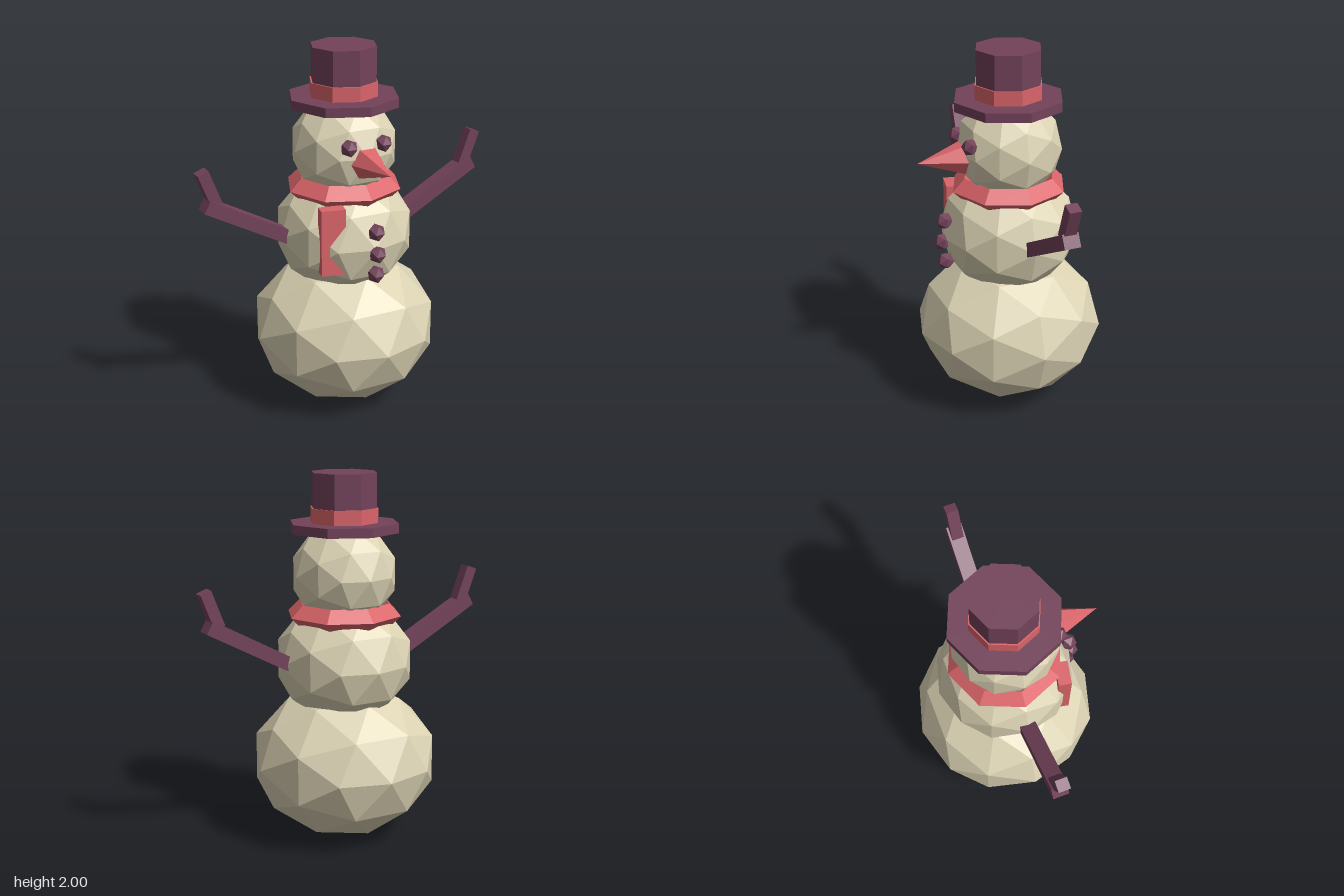
import * as THREE from 'three';

const material = (name, color) => {
  const m = new THREE.MeshStandardMaterial({ color });
  m.name = name;
  return m;
};

export function createModel() {
  const snow = material('snow', 0xdcd3b4);
  const plum = material('plum', 0x73425a);
  const red = material('red', 0xdb656a);
  const model = new THREE.Group();
  model.name = 'snowman';

  // Adds a faceted mesh: every triangle keeps its own flat normal
  function add(name, geometry, mat, x, y, z, parent = model) {
    const flat = geometry.index ? geometry.toNonIndexed() : geometry;
    flat.computeVertexNormals();
    const mesh = new THREE.Mesh(flat, mat);
    mesh.name = name;
    mesh.position.set(x, y, z);
    parent.add(mesh);
    return mesh;
  }
  const ball = (r, height, detail) =>
    new THREE.IcosahedronGeometry(1, detail).rotateY(Math.PI / 2).scale(r, height, r);
  const octagon = (r, h) => new THREE.CylinderGeometry(r, r, h, 8);

  // Snowballs
  add('base', ball(0.512, 0.423, 1), snow, 0, 0.428, 0);
  add('body', ball(0.377, 0.345, 1), snow, 0, 0.988, 0);
  add('head', ball(0.286, 0.286, 1), snow, 0, 1.458, 0);

  // Hat
  add('hatBrim', octagon(0.3, 0.05), plum, 0, 1.712, 0);
  add('hatBand', octagon(0.187, 0.08), red, 0, 1.775, 0);
  add('hatCrown', octagon(0.179, 0.27), plum, 0, 1.865, 0);

  // Face
  const nose = new THREE.ConeGeometry(0.09, 0.25, 6, 1, false, Math.PI / 2).rotateX(Math.PI / 2);
  add('nose', nose, red, 0, 1.432, 0.383);
  for (const side of [-1, 1]) add('eye', ball(0.048, 0.048, 0), plum, side * 0.1, 1.523, 0.252);

  // Buttons
  for (const [y, z] of [[1.086, 0.368], [0.968, 0.382], [0.85, 0.366]])
    add('button', ball(0.048, 0.048, 0), plum, 0, y, z);

  // Scarf ring and hanging tail
  add('scarf', new THREE.TorusGeometry(0.25, 0.066, 4, 8).rotateX(Math.PI / 2), red, 0, 1.243, 0);
  const tail = add('scarfTail', new THREE.BoxGeometry(0.13, 0.36, 0.07), red, -0.201, 1.035, 0.254);
  tail.rotation.y = -0.2;

  // Arms with raised hands, the second turned half round to mirror the first
  for (const turn of [0, Math.PI]) {
    const arm = new THREE.Group();
    arm.name = turn ? 'rightArm' : 'leftArm';
    arm.rotation.y = turn;
    model.add(arm);
    add('forearm', new THREE.BoxGeometry(0.526, 0.075, 0.087), plum, 0.566, 1.127, 0, arm)
      .rotation.z = 0.499;
    add('hand', new THREE.BoxGeometry(0.062, 0.2, 0.065), plum, 0.774, 1.338, 0, arm)
      .rotation.z = -0.365;
  }
  return model;
}
